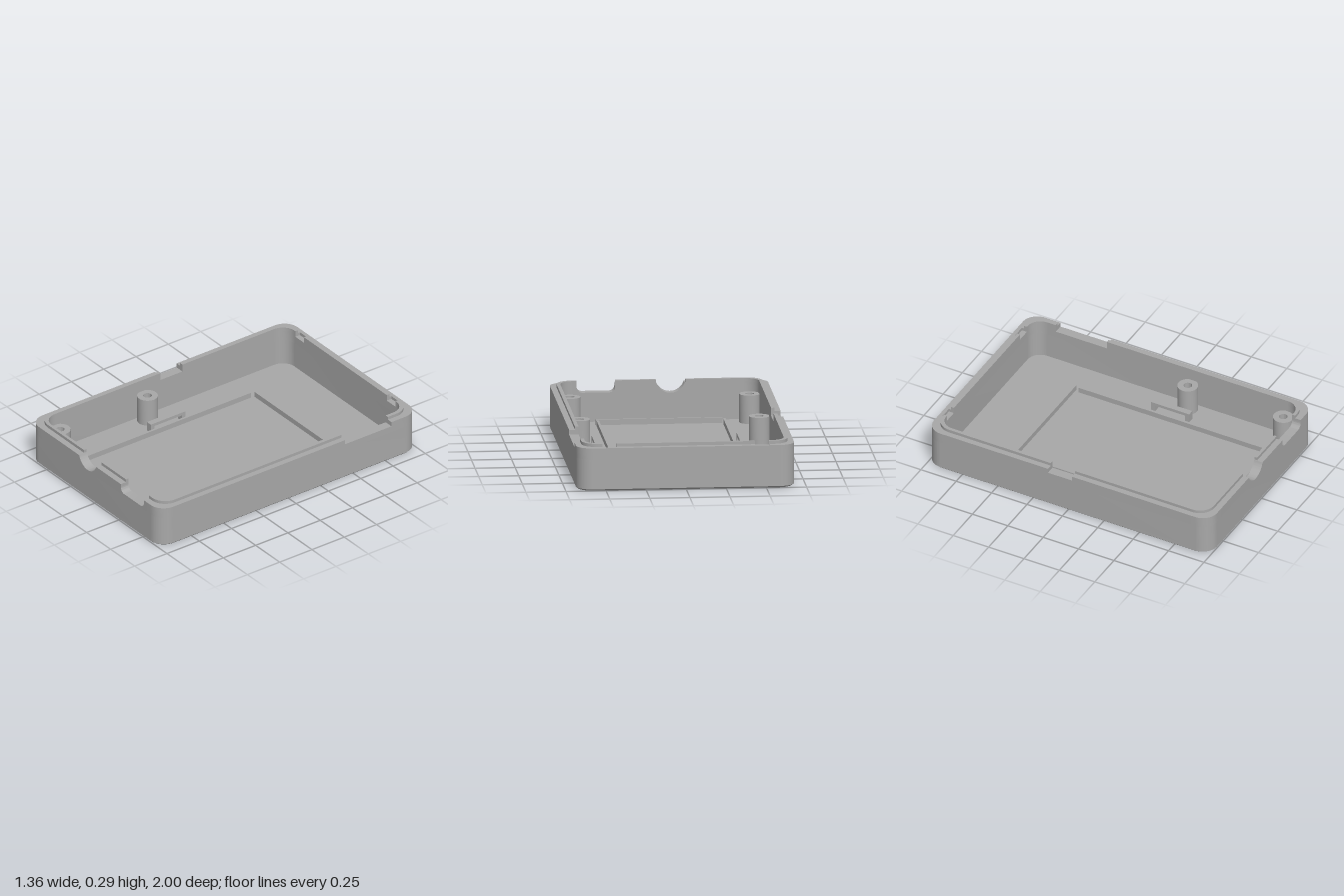
import * as THREE from 'three';
import { toCreasedNormals } from 'three/addons/utils/BufferGeometryUtils.js';

const W = 0.68, D = 1;            // outer half width and half depth
const IW = 0.62, ID = 0.94;       // cavity half width and half depth
const LW = 0.643, LD = 0.96;      // lip half width and half depth
const CX = 0.53, CZ = 0.85;       // where the corner pieces begin
const FLOOR = 0.03, LOW = 0.2, RIM = 0.27, TOP = 0.29;

export function createModel() {
  const group = new THREE.Group();
  const grey = new THREE.MeshStandardMaterial({ color: 0xa8a8a8 });
  grey.name = 'grey plastic';

  const add = (name, geometry) => {
    const mesh = new THREE.Mesh(geometry, grey);
    mesh.name = name;
    group.add(mesh);
    return mesh;
  };
  const box = (name, x0, x1, y0, y1, z0, z1) => {
    const g = new THREE.BoxGeometry(x1 - x0, y1 - y0, z1 - z0);
    g.translate((x0 + x1) / 2, (y0 + y1) / 2, (z0 + z1) / 2);
    return add(name, g);
  };
  // Upright prism over a plan shape
  const prism = (shape, y0, y1) => {
    const g = new THREE.ExtrudeGeometry(shape, { depth: y1 - y0, bevelEnabled: false, curveSegments: 12 });
    g.rotateX(-Math.PI / 2);
    g.translate(0, y0, 0);
    return g;
  };
  const smooth = (g) => toCreasedNormals(g, 0.6);

  const roundedRect = (T, w, d, r) => {
    const s = new T();
    s.moveTo(w, -d + r);
    s.absarc(w - r, d - r, r, 0, Math.PI / 2);
    s.absarc(-w + r, d - r, r, Math.PI / 2, Math.PI);
    s.absarc(-w + r, -d + r, r, Math.PI, Math.PI * 1.5);
    s.absarc(w - r, -d + r, r, Math.PI * 1.5, Math.PI * 2);
    return s;
  };
  const posts = [[-0.56, 0.175], [0.56, 0.175], [-0.56, 0.85], [0.56, 0.85]];

  // Floor with screw holes and a small chamfer round the underside
  const plate = () => {
    const s = roundedRect(THREE.Shape, W, D, 0.1);
    for (const [x, z] of posts) {
      const hole = new THREE.Path();
      hole.absarc(x, -z, 0.04, 0, Math.PI * 2, true);
      s.holes.push(hole);
    }
    return s;
  };
  const chamfer = prism(plate(), 0, 0.01);
  const p = chamfer.attributes.position;
  for (let i = 0; i < p.count; i++) {
    const x = p.getX(i), z = p.getZ(i);
    if (p.getY(i) < 0.005 && (Math.abs(x) > 0.605 || Math.abs(z) > 0.895)) {
      p.setX(i, x * (W - 0.01) / W);
      p.setZ(i, z * (D - 0.01) / D);
    }
  }
  add('floorChamfer', smooth(chamfer));
  add('floor', smooth(prism(plate(), 0.01, FLOOR)));

  // Unbroken lower wall
  const ring = roundedRect(THREE.Shape, W, D, 0.1);
  ring.holes.push(roundedRect(THREE.Path, IW, ID, 0.09));
  add('lowerWall', smooth(prism(ring, FLOOR, LOW)));

  // Corners of the upper wall and of the lip
  const corner = (w, d, r, sx, sz) => {
    const pts = [[CX, d]];
    const arc = (aw, ad, ar, back) => {
      for (let i = 0; i <= 12; i++) {
        const a = (back ? i : 12 - i) / 12 * Math.PI / 2;
        pts.push([aw - ar + ar * Math.cos(a), ad - ar + ar * Math.sin(a)]);
      }
    };
    arc(w, d, r, false);
    pts.push([w, CZ]);
    arc(IW, ID, 0.09, true);
    return new THREE.Shape(pts.map(([x, z]) => new THREE.Vector2(x * sx, -z * sz)));
  };
  for (const sx of [-1, 1]) for (const sz of [-1, 1]) {
    add('wallCorner', smooth(prism(corner(W, D, 0.1, sx, sz), LOW, RIM)));
    add('lipCorner', smooth(prism(corner(LW, LD, 0.1, sx, sz), RIM, TOP)));
  }

  // Side walls with their cable notches
  for (const [s, z0, z1] of [[1, -0.79, -0.43], [-1, -0.14, 0.03]]) {
    const side = (name, outer, y0, y1, a, b) =>
      box(name, Math.min(s * IW, s * outer), Math.max(s * IW, s * outer), y0, y1, a, b);
    side('sideWall', W, LOW, 0.24, -CZ, CZ);
    for (const [a, b] of [[-CZ, z0], [z1, CZ]]) {
      side('sideWall', W, 0.24, RIM, a, b);
      side('sideLip', LW, RIM, TOP, a, b);
    }
  }

  // Back wall with two latch pockets
  box('backWall', -CX, CX, LOW, 0.25, -D, -ID);
  box('backWallSkin', -CX, CX, 0.25, RIM, -D, -0.975);
  for (const [a, b] of [[-CX, -0.52], [-0.43, 0.43], [0.52, CX]]) {
    box('backWallInner', a, b, 0.25, RIM, -0.975, -ID);
    box('backLip', a, b, RIM, TOP, -LD, -ID);
  }

  // Front wall with a round notch and a rounded slot
  const nx = -0.075, ny = 0.297, nr = 0.092;
  const a = Math.asin((ny - RIM) / nr);
  const front = new THREE.Shape();
  front.moveTo(-CX, LOW);
  front.lineTo(CX, LOW);
  front.lineTo(CX, RIM);
  front.lineTo(0.51, RIM);
  front.lineTo(0.51, 0.25);
  front.absarc(0.475, 0.25, 0.035, 0, -Math.PI / 2, true);
  front.absarc(0.305, 0.25, 0.035, -Math.PI / 2, -Math.PI, true);
  front.lineTo(0.27, RIM);
  front.absarc(nx, ny, nr, -a, -Math.PI + a, true);
  front.lineTo(-CX, RIM);
  const fg = new THREE.ExtrudeGeometry(front, { depth: D - ID, bevelEnabled: false, curveSegments: 16 });
  fg.translate(0, 0, ID);
  add('frontWall', smooth(fg));
  for (const [x0, x1] of [[-CX, nx - nr], [nx + nr, 0.27], [0.51, CX]])
    box('frontLip', x0, x1, RIM, TOP, ID, LD);

  // Hollow screw posts
  const profile = [[0.04, FLOOR], [0.065, FLOOR], [0.065, 0.21], [0.027, 0.21],
    [0.027, 0.14], [0.04, 0.14], [0.04, FLOOR]].map(([x, y]) => new THREE.Vector2(x, y));
  for (const [x, z] of posts) {
    const g = smooth(new THREE.LatheGeometry(profile, 32));
    add('screwPost', g).position.set(x, 0, z);
  }

  // Low ribs framing the bay, and strap bridges beside it
  box('backRib', -0.39, 0.4, FLOOR, 0.065, -0.54, -0.525);
  box('frontRib', -0.39, 0.4, FLOOR, 0.065, 0.835, 0.848);
  for (const x of [-0.4, 0.39]) {
    box('sideRib', x - 0.007, x + 0.008, FLOOR, 0.065, -0.5, 0.81);
  }
  for (const x of [-0.445, 0.46]) {
    box('strapBridge', x - 0.02, x + 0.02, 0.07, 0.09, -0.02, 0.25);
    for (const z of [-0.02, 0.22]) box('bridgeLeg', x - 0.02, x + 0.02, FLOOR, 0.07, z, z + 0.03);
  }
  return group;
}
